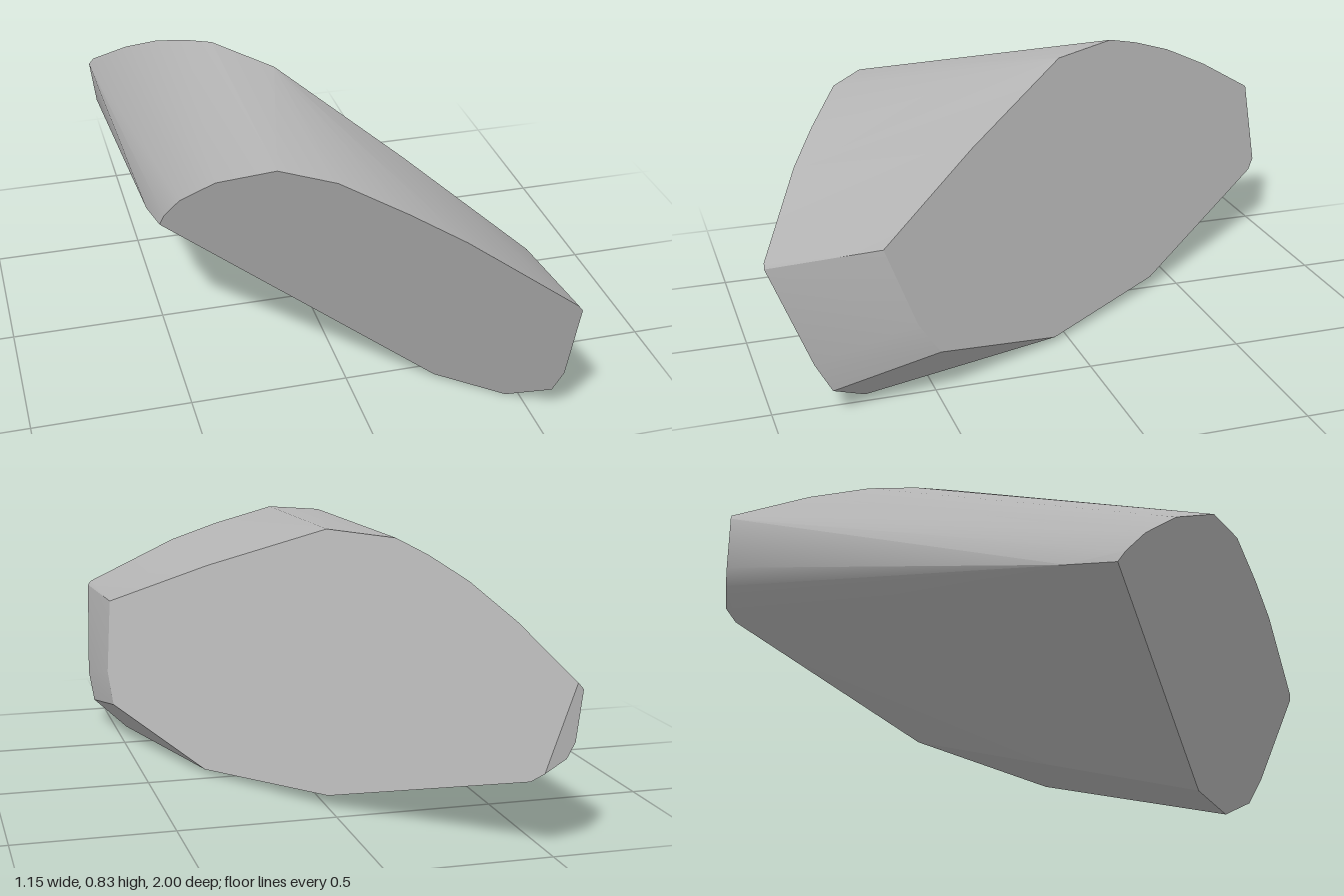
import * as THREE from 'three';
import { toCreasedNormals } from 'three/addons/utils/BufferGeometryUtils.js';
import { ConvexGeometry } from 'three/addons/geometries/ConvexGeometry.js';

// Each broad cut face is a flat outline lying on its own slanted plane.
const onFrontPlane = ([x, y]) => new THREE.Vector3(x, y, 0.767 * x + 0.451 * y + 0.357);
const onSidePlane = ([z, y]) => new THREE.Vector3(0.648 * z - 0.354 * y + 0.272, y, z);

export function createModel() {
  const model = new THREE.Group();
  const stone = new THREE.MeshStandardMaterial({ color: 0xb4b4b4 });
  stone.name = 'stone grey';

  // front cut face, outline as x, y
  const frontFace = [
    [-0.23, 0.812], [-0.08, 0.812], [0.1, 0.743], [0.25, 0.675], [0.54, 0.505],
    [0.551, 0.49], [0.573, 0.18], [0.562, 0.082], [0.46, 0], [0.27, 0.015],
    [-0.52, 0.455], [-0.51, 0.5], [-0.47, 0.59], [-0.38, 0.705],
  ].map(onFrontPlane);

  // side cut face, outline as z, y
  const sideFace = [
    [0.65, 0.49], [0.3, 0.665], [-0.09, 0.834], [-0.33, 0.834], [-0.45, 0.797],
    [-0.6, 0.738], [-0.78, 0.645], [-1, 0.51], [-1, 0.25], [-0.97, 0.22],
    [-0.4, 0.038], [0.05, 0.015], [0.49, 0.145], [0.56, 0.25],
  ].map(onSidePlane);

  // small blunt end at the back and the bevelled corner leading to it
  const backEnd = [
    [-0.574, 0.49, -1], [-0.555, 0.337, -1], [-0.53, 0.29, -1], [-0.535, 0.425, 0],
  ].map((p) => new THREE.Vector3(...p));

  // the smooth rim spans between the two faces
  const hull = new ConvexGeometry([...frontFace, ...sideFace, ...backEnd]);
  const rock = new THREE.Mesh(toCreasedNormals(hull, 0.45), stone);
  rock.name = 'rock';
  model.add(rock);
  return model;
}
